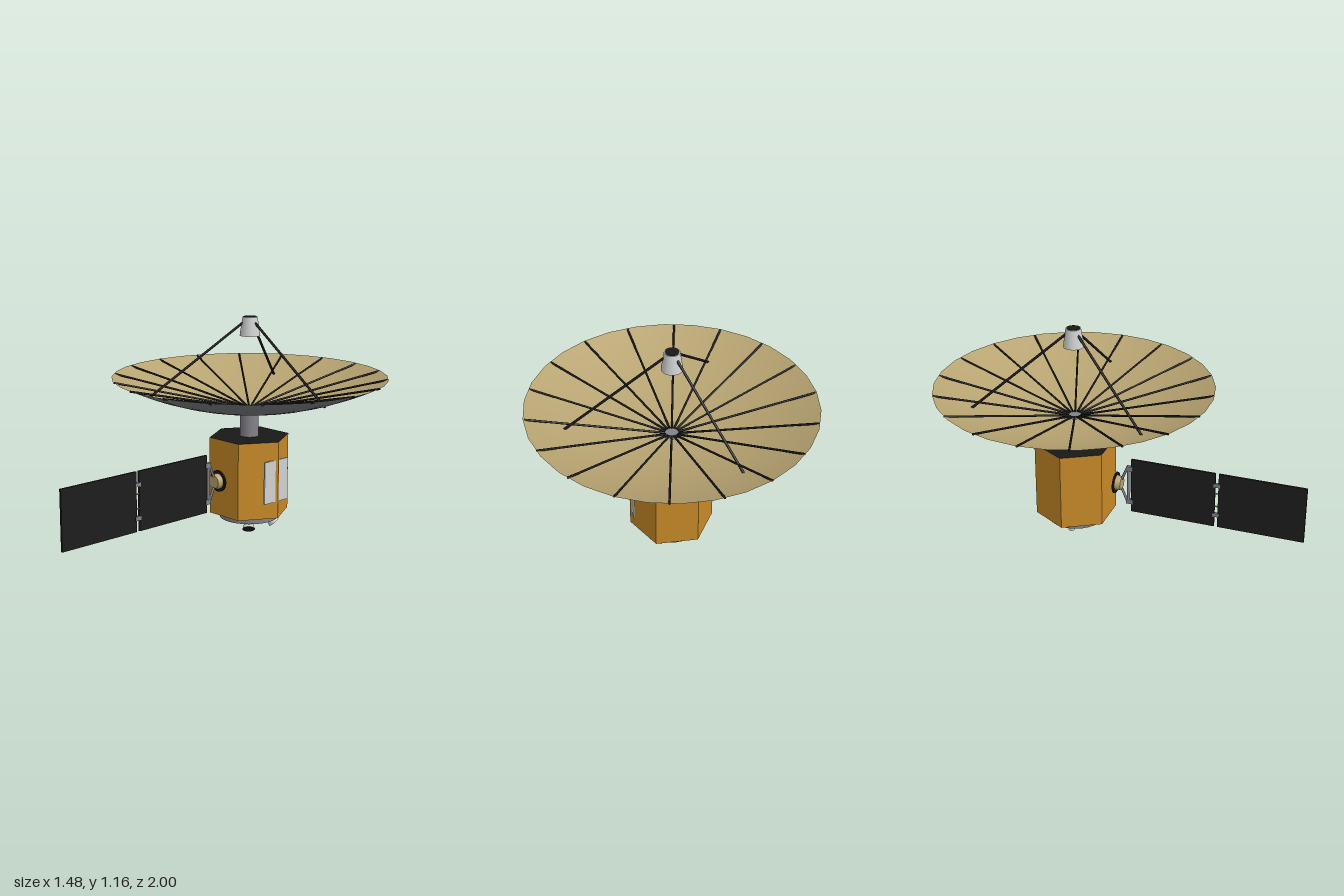
import * as THREE from 'three';

const mat = (name, color, opts = {}) => {
  const m = new THREE.MeshStandardMaterial({ color, ...opts });
  m.name = name;
  return m;
};

export function createModel() {
  const gold = mat('gold foil', 0xc88a28, { flatShading: true });
  const tan = mat('dish tan', 0xb8a472);
  const dishGrey = mat('dish back grey', 0x78797e);
  const grey = mat('metal grey', 0x82828a);
  const white = mat('pale grey', 0xd0d2d2);
  const black = mat('black', 0x181818);
  const cells = mat('solar cell black', 0x1d1d1d);

  const model = new THREE.Group();
  const axis = new THREE.Group(); // everything centred on the main axis
  axis.name = 'spacecraft';
  axis.position.z = -0.265;
  model.add(axis);

  const add = (name, geo, material, x = 0, y = 0, z = 0, parent = axis) => {
    const m = new THREE.Mesh(geo, material);
    m.name = name;
    m.position.set(x, y, z);
    parent.add(m);
    return m;
  };
  const V = (x, y, z) => new THREE.Vector3(x, y, z);
  const up = V(0, 1, 0);
  // round rod between two points
  const rod = (name, a, b, r, material, parent = axis) => {
    const d = b.clone().sub(a);
    const m = add(name, new THREE.CylinderGeometry(r, r, d.length(), 8), material, 0, 0, 0, parent);
    m.position.copy(a).add(b).multiplyScalar(0.5);
    m.quaternion.setFromUnitVectors(up, d.normalize());
    return m;
  };

  // hexagonal body, neck and base ring
  add('body', new THREE.CylinderGeometry(0.22, 0.22, 0.42, 6).rotateY(Math.PI / 2), [gold, black, black], 0, 0.3, 0);
  add('neck', new THREE.CylinderGeometry(0.05, 0.05, 0.155, 24), grey, 0, 0.5825, 0);
  add('baseRing', new THREE.CylinderGeometry(0.158, 0.158, 0.035, 32), [grey, grey, black], 0, 0.0725, 0);
  add('sidePlate', new THREE.BoxGeometry(0.008, 0.23, 0.175), white, 0.209, 0.297, 0.007);

  // thrusters: two tilted outward, one straight
  for (const s of [-1, 1]) {
    const n = add('tiltedThruster', new THREE.CylinderGeometry(0.02, 0.034, 0.046, 16),
      [white, white, black], 0.087, 0.039, s * 0.087);
    n.quaternion.setFromUnitVectors(up, V(-0.48, 0.75, -0.45 * s).normalize());
  }
  add('smallThruster', new THREE.CylinderGeometry(0.015, 0.017, 0.058, 16), [white, white, black], -0.078, 0.029, 0);
  add('smallThrusterCollar', new THREE.CylinderGeometry(0.022, 0.022, 0.02, 16), white, -0.078, 0.045, 0);

  // parabolic dish: separate inner and outer skins
  const R = 0.739;
  const dishY = (r) => 0.655 + 0.18 * (r / R) ** 2;
  const profile = (lift) => Array.from({ length: 17 }, (_, i) => {
    const r = (R * i) / 16;
    return new THREE.Vector2(r, dishY(r) + lift * (1 - i / 16));
  });
  const skin = (lift) => new THREE.LatheGeometry(profile(lift), 30).rotateY(Math.PI / 2);
  add('dishBack', skin(0), dishGrey);
  const inner = skin(0.004);
  const idx = inner.index.array; // turn the inner skin to face upward
  for (let i = 0; i < idx.length; i += 3) [idx[i], idx[i + 1]] = [idx[i + 1], idx[i]];
  const nrm = inner.attributes.normal;
  for (let i = 0; i < nrm.count; i++) nrm.setXYZ(i, -nrm.getX(i), -nrm.getY(i), -nrm.getZ(i));
  add('dishFront', inner, tan);

  // eighteen straight spokes from the hub to the rim
  for (let i = 0; i < 18; i++) {
    const a = (i * Math.PI) / 9, c = Math.cos(a), s = Math.sin(a);
    rod('dishRib', V(c * 0.035, 0.667, s * 0.035), V(c * 0.733, 0.831, s * 0.733), 0.0055, black);
  }

  // feed horn on three struts
  add('feedHorn', new THREE.CylinderGeometry(0.04, 0.055, 0.1, 24), white, 0, 1.105, 0);
  add('feedCap', new THREE.CylinderGeometry(0.035, 0.035, 0.003, 24), black, 0, 1.1555, 0);
  for (let i = 0; i < 3; i++) {
    const a = (i * Math.PI * 2) / 3, c = Math.cos(a), s = Math.sin(a);
    rod('feedStrut', V(c * 0.035, 1.128, s * 0.035), V(c * 0.54, 0.748, s * 0.54), 0.0068, black);
  }

  // solar wing reaching forward
  const wing = new THREE.Group();
  wing.name = 'solarWing';
  wing.position.y = 0.297;
  model.add(wing);
  const w = (name, geo, material, x, y, z) => add(name, geo, material, x, y, z, wing);
  const darkFront = [grey, grey, grey, grey, black, grey];
  w('innerPanel', new THREE.BoxGeometry(0.012, 0.315, 0.463), cells, 0, 0, 0.2855);
  w('outerPanel', new THREE.BoxGeometry(0.012, 0.315, 0.465), cells, 0, 0, 0.7675);
  for (const s of [-1, 1]) {
    w('panelHinge', new THREE.BoxGeometry(0.018, 0.02, 0.036), darkFront, 0, s * 0.088, 0.526);
    rod('hingeWire', V(0, s * 0.038, 0.51), V(0, s * 0.038, 0.54), 0.004, gold, wing);
    rod('yokeArm', V(0, s * 0.105, 0.032), V(0, s * 0.03, 0), 0.007, grey, wing);
    w('yokeTab', new THREE.BoxGeometry(0.018, 0.026, 0.036), darkFront, 0, s * 0.1, 0.045);
  }
  rod('yokeBar', V(0, -0.11, 0.038), V(0, 0.11, 0.038), 0.009, grey, wing);

  // rotary drive between the wing and the body
  w('driveHub', new THREE.CylinderGeometry(0.036, 0.042, 0.03, 24).rotateX(Math.PI / 2), tan, 0, 0, -0.015);
  w('driveFlange', new THREE.CylinderGeometry(0.058, 0.058, 0.008, 24).rotateX(Math.PI / 2), black, 0, 0, -0.034);

  return model;
}
